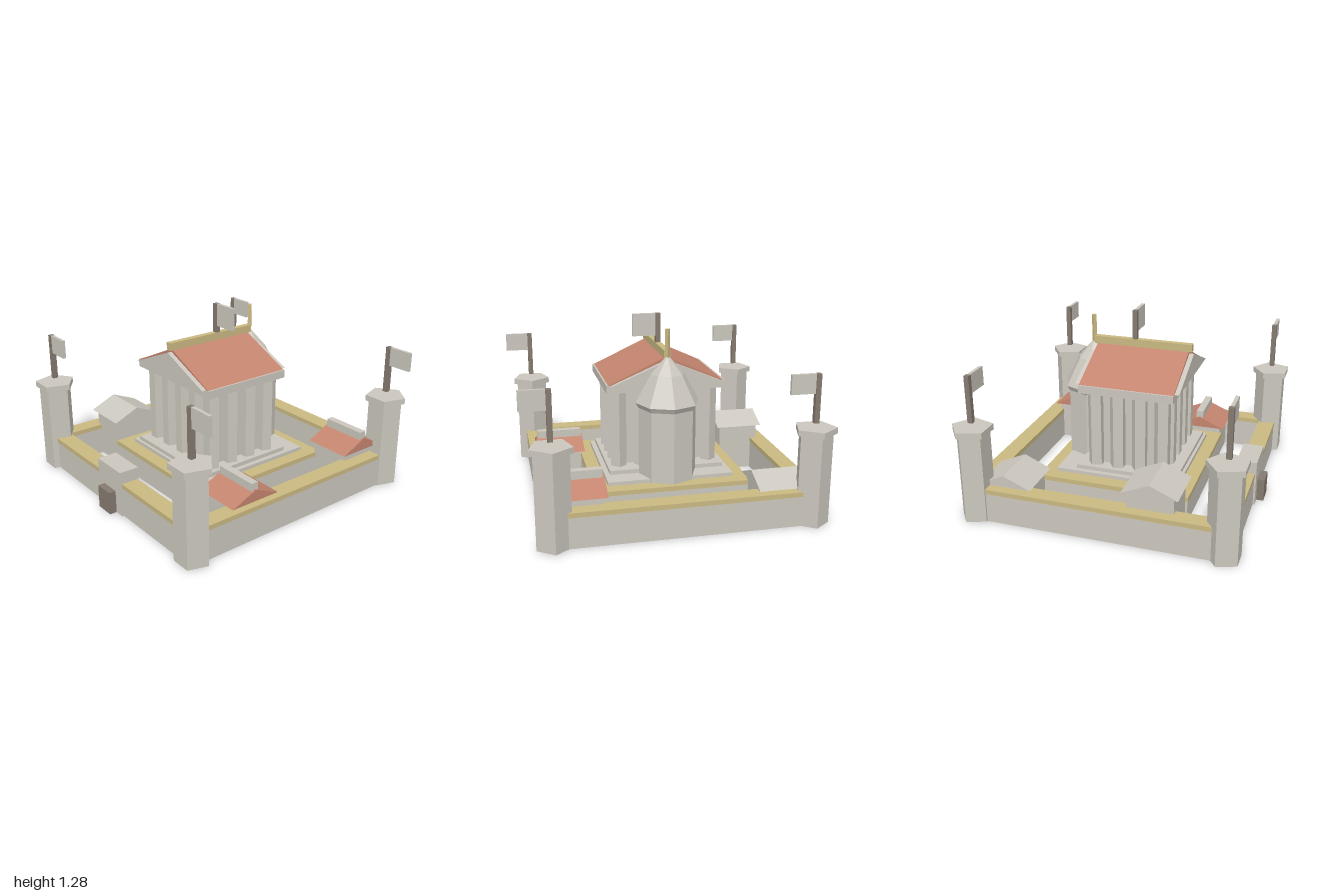
import * as THREE from 'three';

const mat = (name, color) => {
  const m = new THREE.MeshStandardMaterial({ color });
  m.name = name;
  m.flatShading = true;
  return m;
};

export function createModel() {
  const stone = mat('stone', 0xcbc7be);
  const gold = mat('goldTrim', 0xcab982);
  const red = mat('redTile', 0xc4856f);
  const wood = mat('darkWood', 0x857a70);

  const model = new THREE.Group();
  model.name = 'walledTemple';
  const root = new THREE.Group();
  root.name = 'courtyard';
  root.position.set(-0.025, 0, 0.01);
  model.add(root);

  const add = (parent, name, geo, material, x = 0, y = 0, z = 0) => {
    const mesh = new THREE.Mesh(geo, material);
    mesh.name = name;
    mesh.position.set(x, y, z);
    parent.add(mesh);
    return mesh;
  };
  // Box standing on y0 and reaching y1
  const block = (parent, name, material, w, d, y0, y1, x = 0, z = 0) =>
    add(parent, name, new THREE.BoxGeometry(w, y1 - y0, d), material, x, (y0 + y1) / 2, z);
  // Upright prism with its first corner to the back
  const prism = (parent, name, material, r, sides, y0, y1, x = 0, z = 0) =>
    add(parent, name, new THREE.CylinderGeometry(r, r, y1 - y0, sides).rotateY(Math.PI),
      material, x, (y0 + y1) / 2, z);
  // Triangular roof prism with its ridge along z
  const gable = (half, height, length) => {
    const s = new THREE.Shape();
    s.moveTo(-half, 0);
    s.lineTo(half, 0);
    s.lineTo(0, height);
    s.closePath();
    return new THREE.ExtrudeGeometry(s, { depth: length, bevelEnabled: false })
      .translate(0, 0, -length / 2);
  };
  const group = (name, x = 0, z = 0) => {
    const g = new THREE.Group();
    g.name = name;
    g.position.set(x, 0, z);
    root.add(g);
    return g;
  };
  const flag = (parent, y0, y1, height) => {
    block(parent, 'flagPole', wood, 0.034, 0.034, y0, y1);
    block(parent, 'flag', stone, 0.164, 0.023, y1 - height, y1 + 0.001, 0.098);
  };

  // Outer walls with gold coping
  for (const s of [-1, 1]) {
    block(root, 'longWall', stone, 1.68, 0.114, 0, 0.205, 0, s * 0.84);
    block(root, 'longWallCoping', gold, 1.68, 0.12, 0.205, 0.237, 0, s * 0.84);
    block(root, 'sideWall', stone, 0.114, 1.68, 0, 0.205, s * 0.84, 0);
    block(root, 'sideWallCoping', gold, 0.12, 1.68, 0.205, 0.2365, s * 0.84, 0);
  }

  // Corner towers
  for (const sx of [-1, 1]) {
    for (const sz of [-1, 1]) {
      const tower = group('cornerTower', sx * 0.84, sz * 0.842);
      prism(tower, 'towerBody', stone, 0.117, 5, 0, 0.615);
      prism(tower, 'towerCap', stone, 0.141, 5, 0.615, 0.655);
      flag(tower, 0.682, 1.005, 0.128);
    }
  }

  // Gatehouse
  block(root, 'gatehouse', stone, 0.28, 0.14, 0, 0.32, 0, 0.84);
  block(root, 'gateDoor', wood, 0.14, 0.06, 0, 0.16, 0, 0.93);

  // Terrace under the temple
  block(root, 'terrace', stone, 1.05, 1.05, 0, 0.165);
  block(root, 'terraceTrim', gold, 1.06, 1.06, 0.165, 0.197);
  block(root, 'lowerStep', stone, 0.87, 0.866, 0.19, 0.222);

  // Temple with a colonnade around a closed hall
  const temple = group('temple', 0, 0.057);
  block(temple, 'upperStep', stone, 0.8, 0.71, 0.222, 0.25);
  block(temple, 'hall', stone, 0.61, 0.44, 0.25, 0.79);
  for (let i = 0; i < 5; i++) {
    for (let j = 0; j < 4; j++) {
      if (i > 0 && i < 4 && j > 0 && j < 3) continue;
      prism(temple, 'column', stone, 0.0575, 5, 0.25, 0.79, (i - 2) * 0.16, (j - 1.5) * 0.157);
    }
  }
  block(temple, 'entablature', stone, 0.82, 0.655, 0.79, 0.845);
  add(temple, 'pediment', gable(0.38, 0.16, 0.72), stone, 0, 0.845, 0);
  add(temple, 'templeRoof', gable(0.398, 0.182, 0.655), red, 0, 0.845, 0);
  block(temple, 'ridgeBeam', gold, 0.042, 0.7, 1.02, 1.072);
  flag(group('roofFlag'), 1.02, 1.275, 0.155);

  // Eight-sided apse with a faceted dome and finial
  const apse = group('apse', 0, -0.3);
  prism(apse, 'apseBody', stone, 0.2, 8, 0.19, 0.69);
  const dome = [[0, 0.69], [0.2, 0.69], [0.22, 0.725], [0.115, 0.92], [0, 1.045]]
    .map(([r, y]) => new THREE.Vector2(r, y));
  add(apse, 'apseDome', new THREE.LatheGeometry(dome, 8), stone);
  prism(apse, 'finial', gold, 0.017, 4, 1.02, 1.22);

  // Houses along the side walls: x, z, eave height, ridge height, tiled
  const houses = [
    [-0.66, -0.647, 0.237, 0.318, false],
    [-0.68, 0.357, 0.345, 0.425, false],
    [0.665, -0.647, 0.287, 0.373, true],
    [0.68, 0.357, 0.237, 0.316, true],
  ];
  for (const [x, z, eave, ridge, tiled] of houses) {
    const house = group('house', x, z);
    block(house, 'houseBody', stone, 0.29, 0.31, 0, eave);
    add(house, 'houseRoof', gable(0.187, ridge - eave, 0.34).rotateY(Math.PI / 2),
      tiled ? red : stone, 0, eave, 0);
    if (tiled) block(house, 'houseRidge', stone, 0.315, 0.052, ridge - 0.015, ridge + 0.044);
  }

  return model;
}
